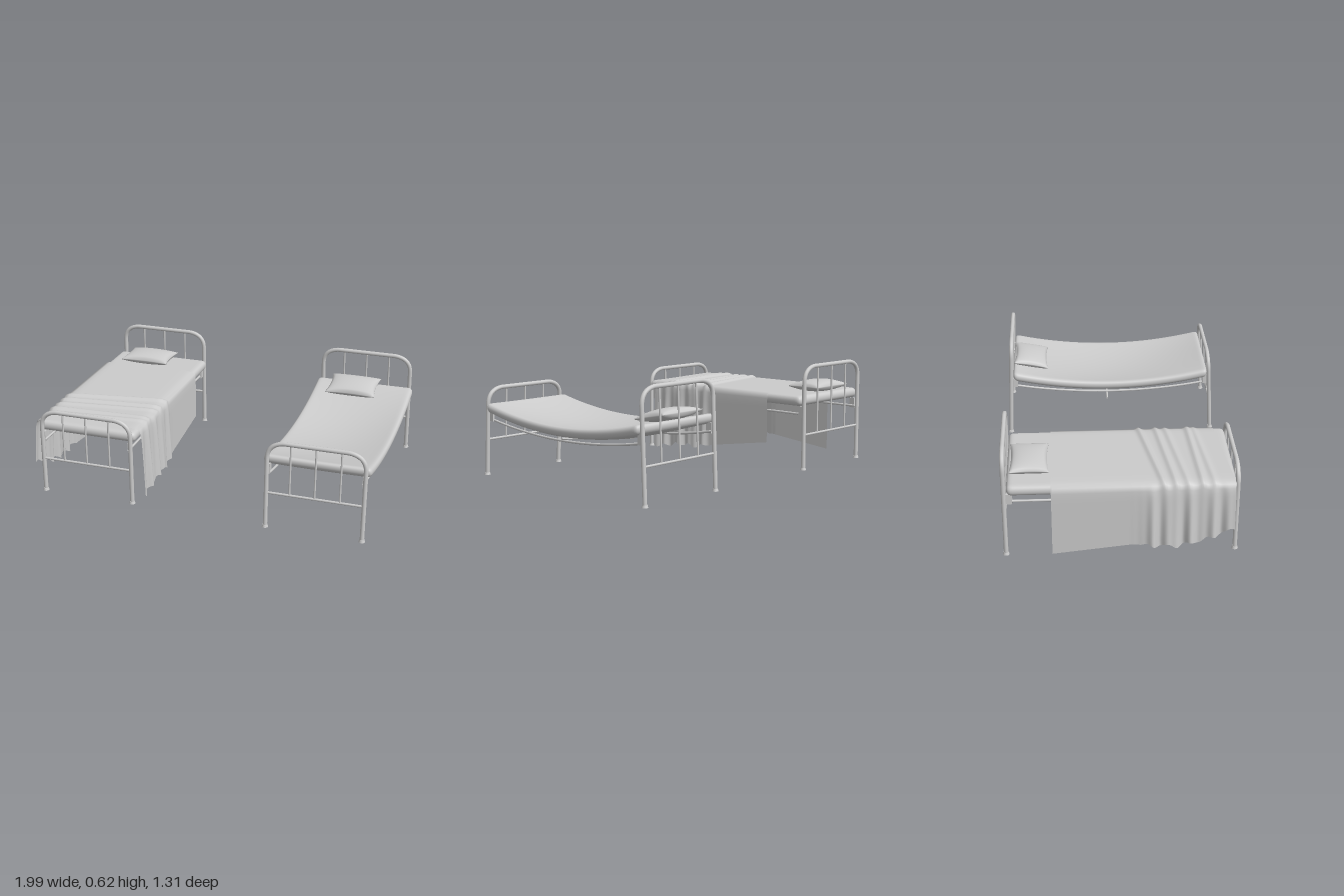
import * as THREE from 'three';
import { mergeVertices } from 'three/addons/utils/BufferGeometryUtils.js';

const material = new THREE.MeshStandardMaterial({ color: 0xcccccc });
const cloth = new THREE.MeshStandardMaterial({ color: 0xcccccc, side: THREE.DoubleSide });
const V = (x, y, z) => new THREE.Vector3(x, y, z);
const { lerp, clamp, smoothstep } = THREE.MathUtils;

function add(parent, name, geometry, mat = material) {
  const mesh = new THREE.Mesh(geometry, mat);
  mesh.name = name;
  parent.add(mesh);
  return mesh;
}

// straight round bar between two points
function bar(parent, name, a, b, r) {
  const mesh = add(parent, name, new THREE.CylinderGeometry(r, r, a.distanceTo(b), 12));
  mesh.position.copy(a).lerp(b, 0.5);
  mesh.quaternion.setFromUnitVectors(V(0, 1, 0), b.clone().sub(a).normalize());
}

// move every vertex by a rule, then smooth the result
function shape(geometry, rule) {
  const p = geometry.attributes.position, v = V(0, 0, 0);
  for (let i = 0; i < p.count; i++) {
    rule(v.fromBufferAttribute(p, i));
    p.setXYZ(i, v.x, v.y, v.z);
  }
  geometry.deleteAttribute('normal');
  geometry.deleteAttribute('uv');
  const merged = mergeVertices(geometry, 1e-5);
  merged.computeVertexNormals();
  return merged;
}

// arched end frame; lean is how far the top tips inward
function endFrame(parent, name, height, side, zFoot, lean) {
  const end = new THREE.Group();
  end.name = name;
  parent.add(end);
  const w = 0.272, r = 0.095;
  const at = (x, y) => V(x, y, side * (zFoot - lean * y / height));
  const top = height - 0.012;
  const path = new THREE.CurvePath();
  path.add(new THREE.LineCurve3(at(-w, 0), at(-w, top - r)));
  path.add(new THREE.QuadraticBezierCurve3(at(-w, top - r), at(-w, top - 0.01), at(-w + r, top)));
  path.add(new THREE.LineCurve3(at(-w + r, top), at(w - r, top)));
  path.add(new THREE.QuadraticBezierCurve3(at(w - r, top), at(w, top - 0.01), at(w, top - r)));
  path.add(new THREE.LineCurve3(at(w, top - r), at(w, 0)));
  add(end, 'archedTube', new THREE.TubeGeometry(path, 120, 0.0125, 12));
  bar(end, 'lowerRail', at(-w, 0.207), at(w, 0.207), 0.007);
  for (const x of [-0.14, 0, 0.14]) bar(end, 'spindle', at(x, 0.207), at(x, top), 0.0055);
  for (const x of [-w, w]) {
    const foot = add(end, 'footCap', new THREE.CylinderGeometry(0.014, 0.018, 0.014, 14));
    foot.position.copy(at(x, 0.007));
  }
}

// mattress with rounded edges and an optional hollow
function mattress(parent, hw, hh, hl, y, sag) {
  const ease = (u) => Math.sign(u) * (1 - Math.pow(1 - Math.abs(u), 1.9));
  const r = hh * 0.95;
  const geo = shape(new THREE.BoxGeometry(2, 2, 2, 28, 8, 44), (v) => {
    v.set(ease(v.x) * hw, v.y * hh, ease(v.z) * hl);
    const core = V(clamp(v.x, r - hw, hw - r), clamp(v.y, r - hh, hh - r), clamp(v.z, r - hl, hl - r));
    const d = v.clone().sub(core);
    if (d.length() > 0) v.copy(core).addScaledVector(d.normalize(), r);
    v.y -= sag * (1 - (v.z / hl) ** 2) * (1 + 0.5 * (1 - (v.x / hw) ** 2));
  });
  add(parent, 'mattress', geo).position.y = y;
}

// plump cushion with pinched corners
function pillow(parent, x, y, z, tilt, hh) {
  const geo = shape(new THREE.BoxGeometry(2, 2, 2, 28, 1, 22), (v) => {
    const { x: u, z: w } = v;
    const puff = Math.pow((1 - u * u) * (1 - w * w), 0.45);
    v.set(
      u * 0.152 * (1 - 0.08 * u * u * (1 - w * w)),
      v.y * (0.003 + (hh - 0.003) * puff),
      w * 0.106 * (1 - 0.09 * w * w * (1 - u * u)),
    );
  });
  const mesh = add(parent, 'pillow', geo);
  mesh.position.set(x, y, z);
  mesh.rotation.x = tilt;
}

// side rails, brackets and the cross brace under the mattress
function undercarriage(parent, sag, brace) {
  for (const s of [-1, 1]) {
    const pts = [];
    for (let i = 0; i <= 8; i++) {
      const z = lerp(-0.62, 0.62, i / 8);
      pts.push(V(s * 0.255, 0.327 - sag * (1 - (z / 0.62) ** 2), z));
    }
    add(parent, 'sideRail', new THREE.TubeGeometry(new THREE.CatmullRomCurve3(pts), 48, 0.007, 8));
    for (const e of [-1, 1]) {
      const bracket = add(parent, 'railBracket', new THREE.BoxGeometry(0.012, 0.06, 0.035));
      bracket.position.set(s * 0.262, 0.345, e * 0.598);
    }
  }
  bar(parent, 'crossBrace', brace[0], brace[1], 0.006);
}

// blanket: flat on top, wrinkled near the foot, hanging on both sides
function blanket(parent) {
  const hems = [
    [[-0.375, 0.02], [0.08, 0.07], [0.3, 0.06], [0.45, 0.1], [0.6, 0.165]],
    [[-0.375, 0.14], [0.08, 0.07], [0.2, 0.052], [0.3, 0.055], [0.54, 0.02]],
  ];
  const hem = (points, z) => {
    let i = 1;
    while (i < points.length - 1 && z > points[i][0]) i++;
    const [a, b] = [points[i - 1], points[i]];
    return lerp(a[1], b[1], clamp((z - a[0]) / (b[0] - a[0]), 0, 1));
  };
  const half = 0.304;
  const geo = shape(new THREE.PlaneGeometry(1, 1, 72, 120), (v) => {
    const s = v.x + 0.5;
    const across = clamp(s * 3 - 1, 0, 1);
    const z = lerp(-0.375, 0.6 - 0.056 * across, 0.5 - v.y);
    const k = smoothstep(z, 0.04, 0.17);
    // slanted ridges gathered towards the foot
    let lift = 0;
    for (const [c, slope, h] of [[0.17, 0.1, 0.013], [0.25, 0.07, 0.012], [0.31, 0.08, 0.009], [0.41, 0.03, 0.013], [0.46, 0.06, 0.008]]) {
      lift += h * Math.exp(-(((z - c + slope * (across - 0.5)) / 0.016) ** 2));
    }
    const top = 0.441 + lift;
    const side = s < 0.5 ? -1 : 1;
    const t = clamp(Math.abs(s - 0.5) * 6 - 1, 0, 1);
    const wave = 0.5 + 0.32 * Math.sin(58 * z + side) + 0.18 * Math.sin(97 * z + 2 * side);
    const out = 0.004 * Math.min(1, t * 8) + k * 0.036 * Math.pow(t, 0.6) * wave;
    const low = hem(hems[side < 0 ? 0 : 1], z) + k * t * 0.012 * Math.sin(58 * z);
    const round = 0.012 * Math.pow(Math.abs(across * 2 - 1), 16);
    v.set((across * 2 - 1) * half + side * out, lerp(top - round, low, t), z);
  });
  add(parent, 'blanket', geo, cloth).position.x = -0.004;
}

export function createModel() {
  const model = new THREE.Group();

  // straight bed, made up with a blanket
  const madeBed = new THREE.Group();
  madeBed.name = 'madeBed';
  madeBed.position.x = -0.643;
  endFrame(madeBed, 'headboard', 0.62, -1, 0.625, 0);
  endFrame(madeBed, 'footboard', 0.515, 1, 0.615, 0);
  undercarriage(madeBed, 0, [V(-0.255, 0.32, -0.02), V(0.255, 0.32, -0.02)]);
  mattress(madeBed, 0.297, 0.03, 0.61, 0.406, 0);
  pillow(madeBed, -0.05, 0.465, -0.49, 0, 0.036);
  blanket(madeBed);

  // worn bed, bent in the middle with its ends leaning inwards
  const saggingBed = new THREE.Group();
  saggingBed.name = 'saggingBed';
  saggingBed.position.x = 0.7;
  endFrame(saggingBed, 'headboard', 0.62, -1, 0.635, 0.024);
  endFrame(saggingBed, 'footboard', 0.515, 1, 0.637, 0.026);
  undercarriage(saggingBed, 0.058, [V(-0.265, 0.222, -0.02), V(0.28, 0.285, -0.02)]);
  mattress(saggingBed, 0.299, 0.0275, 0.606, 0.397, 0.07);
  pillow(saggingBed, -0.052, 0.43, -0.495, 0.19, 0.036);

  model.add(madeBed, saggingBed);
  return model;
}
